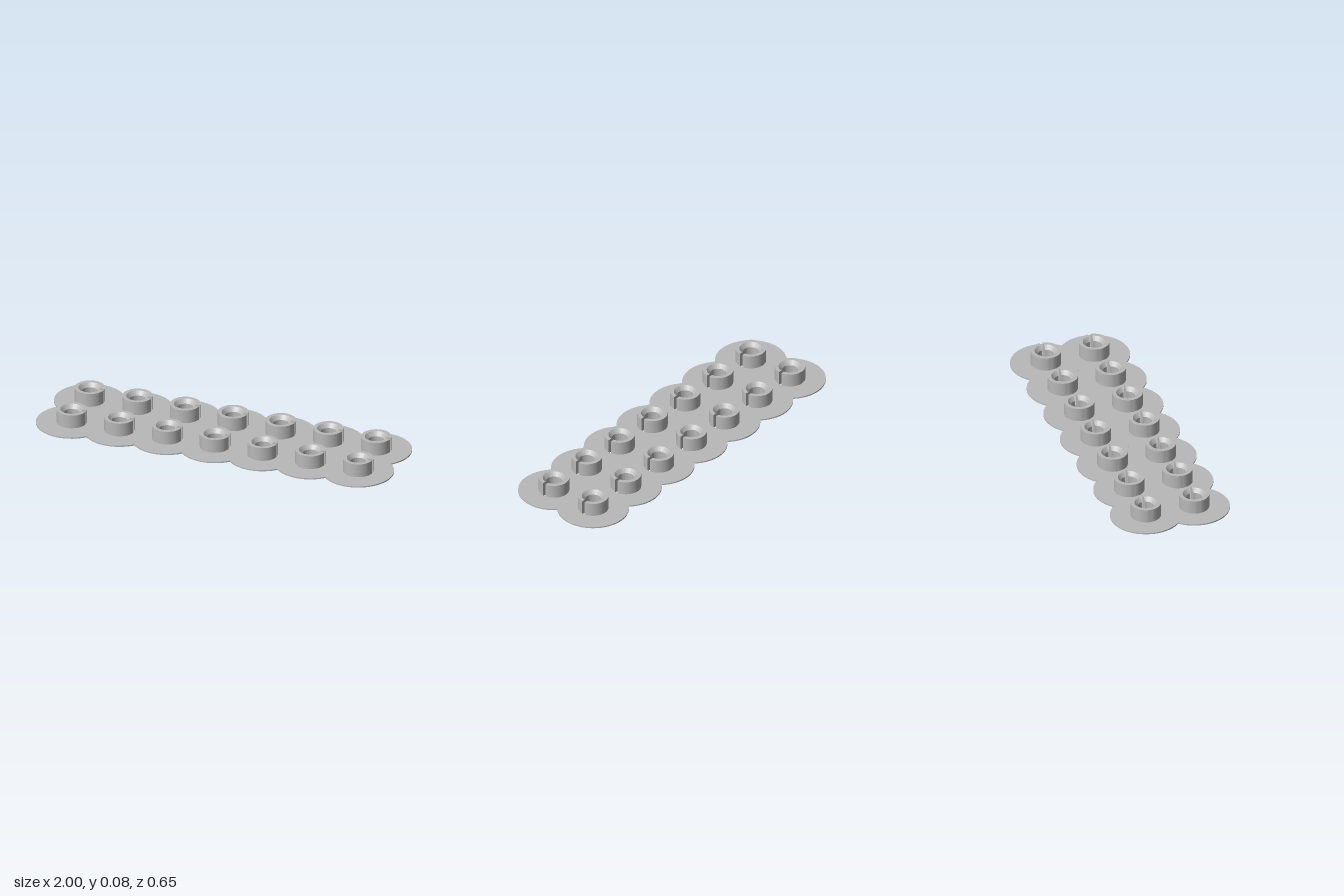
import * as THREE from 'three';
import { mergeGeometries, toCreasedNormals } from 'three/addons/utils/BufferGeometryUtils.js';

const PITCH = 0.27, HALF = PITCH / 2, DISC_R = 0.19, COLUMNS = 7;
const PLATE_H = 0.007, TOP = 0.082;
const OUTER_R = 0.081, RIM_R = 0.06, BORE_R = 0.042, CHAMFER_Y = 0.06;
const SLOT = 0.0085; // half width of the slot
const SEGMENTS = 64;

const columnX = (i) => (i - (COLUMNS - 1) / 2) * PITCH;

// Points of a circular arc from angle a to angle b
function arc(cx, cy, r, a, b, n) {
  return Array.from({ length: n + 1 }, (_, i) => {
    const t = a + ((b - a) * i) / n;
    return new THREE.Vector2(cx + r * Math.cos(t), cy + r * Math.sin(t));
  });
}

// Scalloped sheet made of merged discs, pierced by keyholes
function plateGeometry() {
  const cut = Math.acos(HALF / DISC_R); // where neighbouring discs meet
  const side = Math.PI / 2 - cut;
  const outline = [];
  for (let k = 0; k < COLUMNS; k++) {
    const start = k === 0 ? -Math.PI / 2 - side : cut;
    const end = k === COLUMNS - 1 ? Math.PI / 2 + side : Math.PI - cut;
    // upper row, walked from right to left
    const from = k === 0 ? -side : start;
    const to = k === COLUMNS - 1 ? Math.PI + side : end;
    outline.push(...arc(columnX(COLUMNS - 1 - k), HALF, DISC_R, from, to, 32));
  }
  const half = outline.slice();
  outline.push(...half.map((p) => new THREE.Vector2(-p.x, -p.y)));
  const clean = outline.filter((p, i) => p.distanceTo(outline[(i + 1) % outline.length]) > 1e-5);
  const shape = new THREE.Shape(clean);

  const a = Math.asin(SLOT / BORE_R);
  const slotEnd = Math.sqrt(OUTER_R ** 2 - SLOT ** 2);
  for (let i = 0; i < COLUMNS; i++) {
    const x = columnX(i);
    for (const y of [-HALF, HALF]) {
      shape.holes.push(new THREE.Path([
        ...arc(x, y, BORE_R, a, Math.PI * 2 - a, SEGMENTS),
        new THREE.Vector2(x + slotEnd, y - SLOT),
        new THREE.Vector2(x + slotEnd, y + SLOT),
      ]));
    }
    // pinprick gap left between four discs
    if (i < COLUMNS - 1) shape.holes.push(new THREE.Path(arc(x + HALF, 0, 0.0012, 0, Math.PI * 1.5, 3)));
  }
  const geo = new THREE.ExtrudeGeometry(shape, { depth: PLATE_H, bevelEnabled: false });
  geo.rotateX(-Math.PI / 2);
  return toCreasedNormals(geo, 0.4);
}

// Split ring with a chamfered mouth and a parallel-sided slot toward +x
function collarGeometry() {
  const profile = [
    [OUTER_R, PLATE_H], [OUTER_R, TOP], [RIM_R, TOP], [BORE_R, CHAMFER_Y], [BORE_R, PLATE_H],
  ].map(([r, y]) => new THREE.Vector2(r, y));

  const ring = new THREE.LatheGeometry(profile, SEGMENTS);
  const pos = ring.attributes.position;
  for (let i = 0; i < pos.count; i++) {
    const p = profile[i % profile.length];
    const a = Math.asin(SLOT / p.x);
    const t = a + (Math.floor(i / profile.length) / SEGMENTS) * (Math.PI * 2 - 2 * a);
    pos.setXYZ(i, p.x * Math.cos(t), p.y, -p.x * Math.sin(t));
  }

  // flat walls on both sides of the slot
  const section = new THREE.Shape(
    profile.map((p) => new THREE.Vector2(Math.sqrt(p.x ** 2 - SLOT ** 2), p.y)));
  const backWall = new THREE.ShapeGeometry(section).translate(0, 0, -SLOT);
  const frontWall = new THREE.ShapeGeometry(section).translate(0, 0, SLOT);
  frontWall.index.array.reverse();
  return toCreasedNormals(mergeGeometries([ring, backWall, frontWall]), 0.4);
}

export function createModel() {
  const model = new THREE.Group();
  model.name = 'collarPlate';
  const grey = new THREE.MeshStandardMaterial({ color: 0xb8b8b8 });
  grey.name = 'grey';

  const plate = new THREE.Mesh(plateGeometry(), grey);
  plate.name = 'scallopedPlate';
  model.add(plate);

  const collar = collarGeometry();
  for (let i = 0; i < COLUMNS; i++) {
    for (const z of [-HALF, HALF]) {
      const mesh = new THREE.Mesh(collar, grey);
      mesh.name = 'slottedCollar';
      mesh.position.set(columnX(i), 0, z);
      model.add(mesh);
    }
  }
  return model;
}
